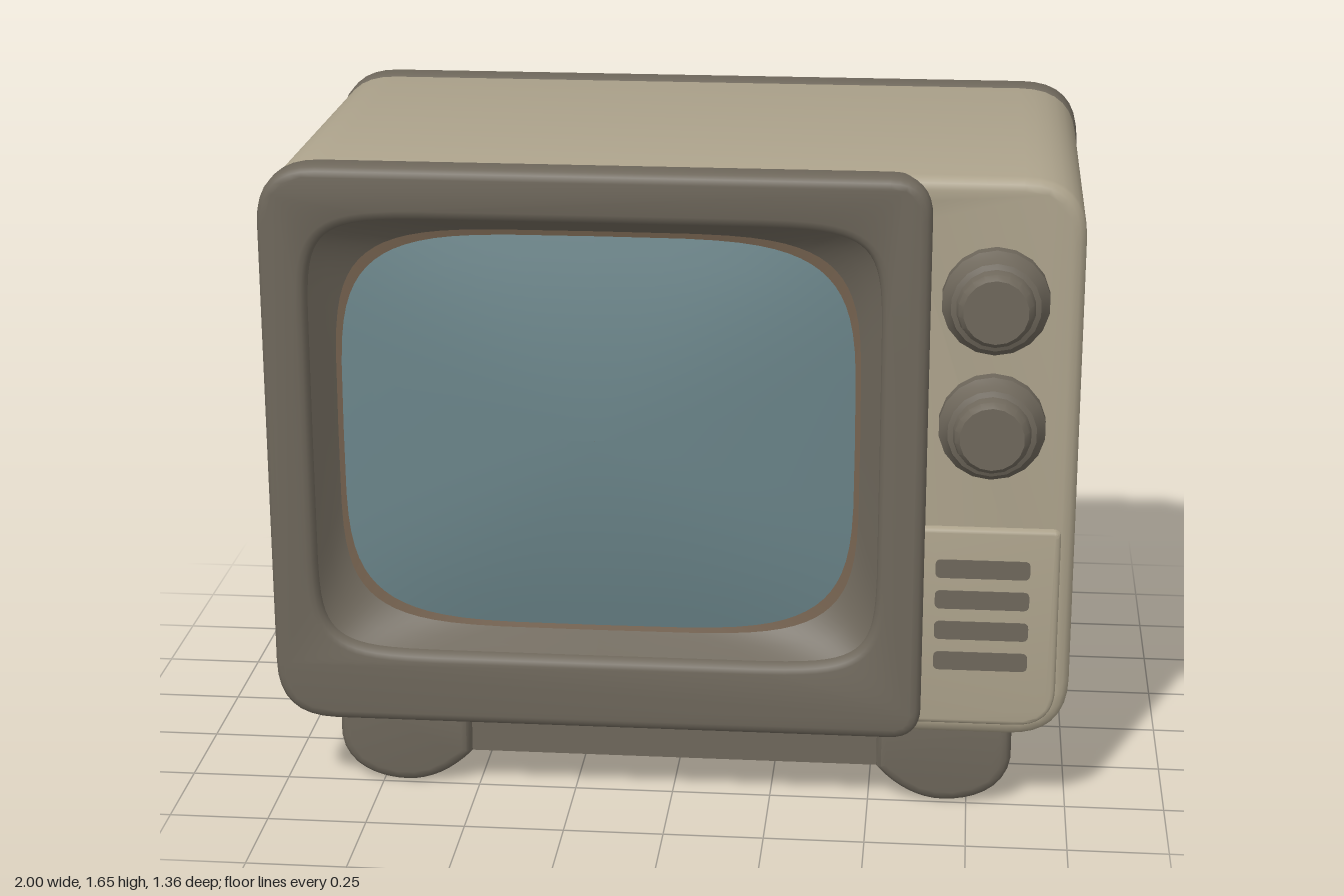
import * as THREE from 'three';
import { toCreasedNormals } from 'three/addons/utils/BufferGeometryUtils.js';

const mat = (name, color, side = THREE.FrontSide) => {
  const m = new THREE.MeshStandardMaterial({ color, side });
  m.name = name;
  return m;
};

// Rounded rectangle, radii ordered bottom left, bottom right, top right, top left
function roundRect(x0, y0, x1, y1, [bl, br, tr, tl]) {
  const s = new THREE.Shape();
  s.moveTo(x0 + bl, y0);
  s.lineTo(x1 - br, y0);
  s.quadraticCurveTo(x1, y0, x1, y0 + br);
  s.lineTo(x1, y1 - tr);
  s.quadraticCurveTo(x1, y1, x1 - tr, y1);
  s.lineTo(x0 + tl, y1);
  s.quadraticCurveTo(x0, y1, x0, y1 - tl);
  s.lineTo(x0, y0 + bl);
  s.quadraticCurveTo(x0, y0, x0 + bl, y0);
  return s;
}

// Extrusion between two z values with bevels kept inside the outline
function slab(shape, z0, z1, bevel) {
  const g = new THREE.ExtrudeGeometry(shape, {
    depth: z1 - z0 - 2 * bevel, bevelEnabled: bevel > 0, bevelThickness: bevel,
    bevelSize: bevel, bevelOffset: -bevel, bevelSegments: 3, curveSegments: 8,
  });
  g.translate(0, 0, z0 + bevel);
  return toCreasedNormals(g, 0.6);
}

// Soft barrel outline used for the picture tube opening
function tubeOutline(a, b, n) {
  const pts = [];
  for (let i = 0; i < 72; i++) {
    const t = (i / 72) * Math.PI * 2, c = Math.cos(t), s = Math.sin(t);
    pts.push(new THREE.Vector2(
      -0.185 + a * Math.sign(c) * Math.abs(c) ** (2 / n),
      0.96 + b * Math.sign(s) * Math.abs(s) ** (2 / n)));
  }
  return pts;
}

// Skin between closed rings, given as [points, z]
function loft(rings, crease) {
  const pos = [], idx = [], n = rings[0][0].length;
  for (const [pts, z] of rings) for (const p of pts) pos.push(p.x, p.y, z);
  for (let r = 0; r < rings.length - 1; r++) {
    for (let i = 0; i < n; i++) {
      const a = r * n + i, b = r * n + (i + 1) % n;
      idx.push(a, b, a + n, b, b + n, a + n);
    }
  }
  const g = new THREE.BufferGeometry();
  g.setAttribute('position', new THREE.Float32BufferAttribute(pos, 3));
  g.setIndex(idx);
  return toCreasedNormals(g, crease);
}

export function createModel() {
  const group = new THREE.Group();
  const beige = mat('beige cabinet', 0xaca28b);
  const brown = mat('dark taupe plastic', 0x6e675b);
  const blue = mat('blue glass', 0x6a8489);
  const rust = mat('rusty gasket', 0x75624f);
  const add = (name, geo, material) => {
    const m = new THREE.Mesh(geo, material);
    m.name = name;
    group.add(m);
    return m;
  };

  // Cabinet shell, hollow behind the screen
  const R = [0.15, 0.15, 0.15, 0.15];
  const shell = roundRect(-0.996, 0.214, 0.996, 1.646, R);
  shell.holes.push(roundRect(-0.91, 0.37, 0.55, 1.55, [0.05, 0.05, 0.05, 0.05]));
  add('cabinet', slab(shell, -0.5, 0.558, 0.03), beige);
  add('backCover', slab(roundRect(-1, 0.21, 1, 1.65, R), -0.57, -0.45, 0.03), brown);

  // Raised housing on the back
  const step = (x0, y0, x1, y1, r, z) =>
    [roundRect(x0, y0, x1, y1, [r, r, r, r]).getPoints(4), z];
  const bump = loft([
    step(-0.33, 0.44, 0.73, 1.33, 0.05, 0.55),
    step(-0.33, 0.44, 0.73, 1.33, 0.05, 0.578),
    step(-0.3, 0.48, 0.69, 1.21, 0.04, 0.612),
    step(-0.13, 0.56, 0.55, 1.07, 0.02, 0.678),
    step(0.2, 0.8, 0.22, 0.82, 0.002, 0.678),
  ], 0.3);
  add('backHousing', bump.rotateY(Math.PI), brown);

  // Front frame, funnel, gasket and screen
  const frame = roundRect(-1, 0.21, 0.63, 1.65, [0.15, 0.08, 0.1, 0.15]);
  frame.holes.push(new THREE.Path(tubeOutline(0.7, 0.56, 9)));
  add('screenFrame', slab(frame, 0.5, 0.6, 0.025), brown);
  add('screenFunnel', loft([
    [tubeOutline(0.703, 0.563, 9), 0.576],
    [tubeOutline(0.675, 0.54, 7), 0.535],
    [tubeOutline(0.65, 0.52, 5), 0.5],
  ], 0.7), brown);
  add('screenGasket', loft([
    [tubeOutline(0.65, 0.52, 5), 0.5],
    [tubeOutline(0.63, 0.5, 4.5), 0.495],
  ], 0.7), rust);
  const dome = [];
  for (let i = 0; i <= 8; i++) {
    const k = Math.max(1 - i / 8, 0.001);
    dome.push([tubeOutline(0.637 * k, 0.507 * k, 2.5 + 2 * k), 0.498 + 0.055 * (1 - k * k)]);
  }
  add('screen', loft(dome, 1), blue);

  // Control panel: two knobs and a slotted speaker grille
  const knobProfile = [[0.13, 0], [0.13, 0.045], [0.115, 0.065], [0.108, 0.085],
    [0.095, 0.09], [0.09, 0.115], [0.078, 0.13], [0.0001, 0.13]]
    .map(([x, y]) => new THREE.Vector2(x, y));
  for (const y of [1.35, 1.035]) {
    const g = new THREE.LatheGeometry(knobProfile, 18).rotateX(Math.PI / 2);
    add('knob', toCreasedNormals(g, 0.5), brown).position.set(0.785, y, 0.547);
  }
  add('speakerPanel',
    slab(roundRect(0.6, 0.25, 0.962, 0.77, [0.02, 0.1, 0.02, 0.02]), 0.53, 0.576, 0.012), beige);
  for (let i = 0; i < 4; i++) {
    const y = 0.665 - i * 0.081;
    add('speakerSlot', slab(roundRect(0.658, y - 0.024, 0.89, y + 0.024,
      [0.015, 0.015, 0.015, 0.015]), 0.571, 0.579, 0), brown);
  }

  // Base tray with rounded runners ending in four feet
  const tray = new THREE.BoxGeometry(1.3, 0.15, 0.98);
  add('baseTray', tray, brown).position.set(0, 0.16, -0.015);
  const footShape = (drop) => {
    const s = new THREE.Shape();
    s.moveTo(-0.86, 0.25);
    s.lineTo(-0.86, drop + 0.12);
    s.bezierCurveTo(-0.85, drop + 0.03, -0.76, drop, -0.69, drop);
    s.bezierCurveTo(-0.63, drop, -0.57, drop + 0.03, -0.52, drop + 0.085);
    s.lineTo(-0.52, 0.25);
    return s;
  };
  for (const side of [0, 1]) {
    const place = (name, drop, z0, z1, bevel) => {
      const g = slab(footShape(drop), z0, z1, bevel);
      if (side) g.rotateY(Math.PI).translate(0, 0, z0 + z1);
      add(name, g, brown);
    };
    place('runner', 0.045, -0.45, 0.42, 0);
    place('frontFoot', 0, 0.33, 0.5, 0.025);
    place('backFoot', 0, -0.53, -0.36, 0.025);
  }
  return group;
}
